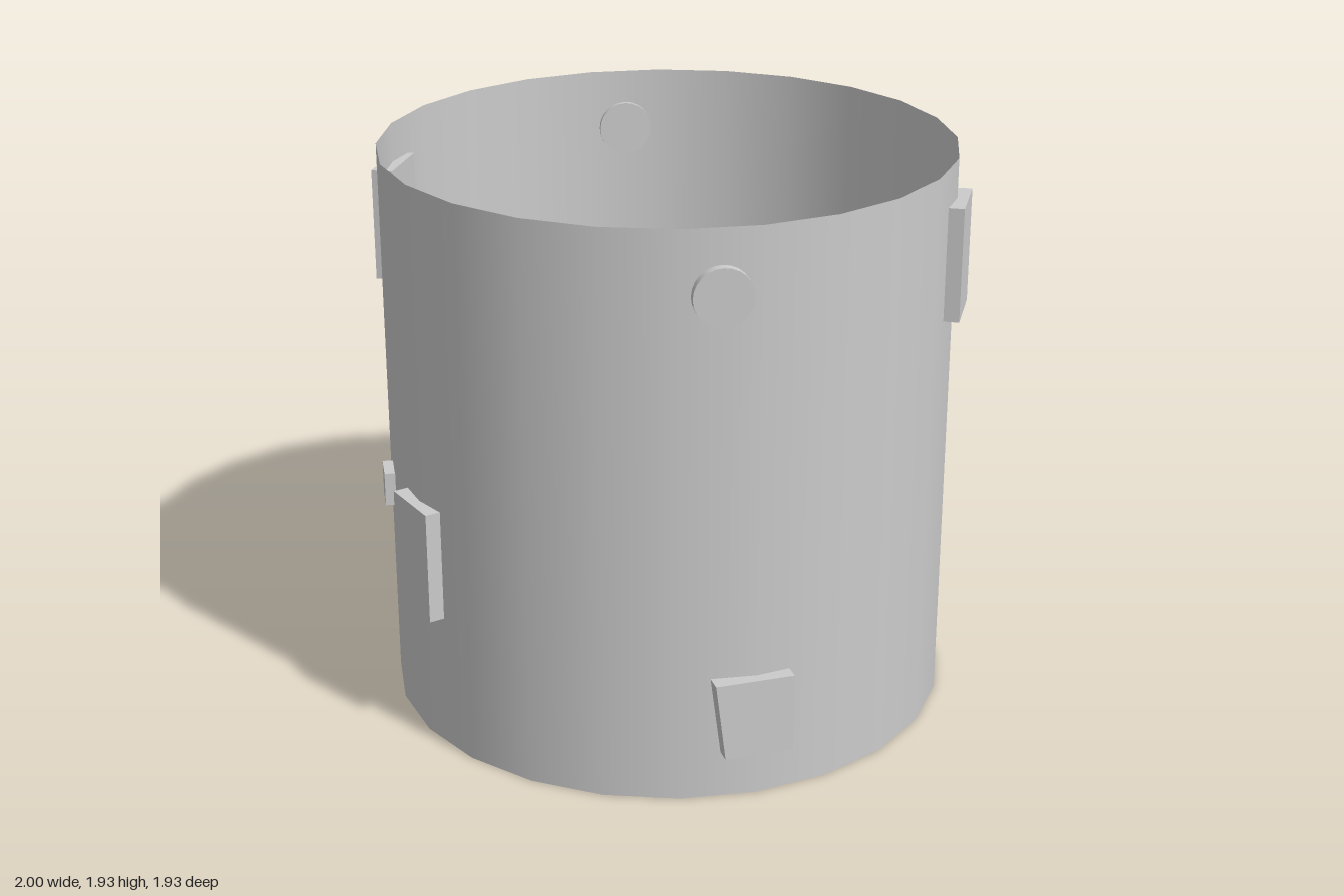
import * as THREE from 'three';

const RADIUS = 0.966;
const HEIGHT = 1.935;
const rad = THREE.MathUtils.degToRad;

export function createModel() {
  const model = new THREE.Group();
  const material = new THREE.MeshStandardMaterial({ color: 0xcccccc });
  const wallMaterial = new THREE.MeshStandardMaterial({ color: 0xcccccc, side: THREE.DoubleSide });

  // Open-ended tube wall
  const wall = new THREE.Mesh(
    new THREE.CylinderGeometry(RADIUS, RADIUS, HEIGHT, 24, 1, true), wallMaterial);
  wall.name = 'wall';
  wall.position.y = HEIGHT / 2;
  model.add(wall);

  // Places a part on the wall (local +z outward) and its twin half a turn away.
  // angle is measured around y from +z towards +x; twist turns the part in place.
  function addPair(name, geometry, angle, y, twist = 0, radius = RADIUS) {
    for (const turn of [0, 180]) {
      const a = rad(angle + turn);
      const mesh = new THREE.Mesh(geometry, material);
      mesh.name = name + (turn ? 'Opposite' : '');
      mesh.position.set(Math.sin(a) * radius, y, Math.cos(a) * radius);
      mesh.rotation.y = a + rad(twist);
      model.add(mesh);
    }
  }

  // Rectangular blocks, high and mid-height
  const block = new THREE.BoxGeometry(0.233, 0.387, 0.073);
  addPair('upperBlock', block, 105, 1.607);
  addPair('middleBlock', block, 150, 0.662);

  // Small square block
  addPair('smallBlock', new THREE.BoxGeometry(0.113, 0.116, 0.053), 131.8, 0.797, -4.3, 0.969);

  // Round button
  const disc = new THREE.CylinderGeometry(0.095, 0.095, 0.05, 24);
  disc.rotateX(Math.PI / 2);
  addPair('roundButton', disc, 37.5, 1.723, 0, 0.964);

  // Wedge-sided block with one slanted edge
  const outline = new THREE.Shape([
    new THREE.Vector2(-0.117, -0.135),
    new THREE.Vector2(0.113, -0.135),
    new THREE.Vector2(0.113, 0.135),
    new THREE.Vector2(-0.151, 0.135),
  ]);
  const slanted = new THREE.ExtrudeGeometry(outline, { depth: 0.062, bevelEnabled: false });
  slanted.translate(0, 0, -0.031);
  addPair('slantedBlock', slanted, 45, 0.295, 0, 0.972);

  return model;
}
